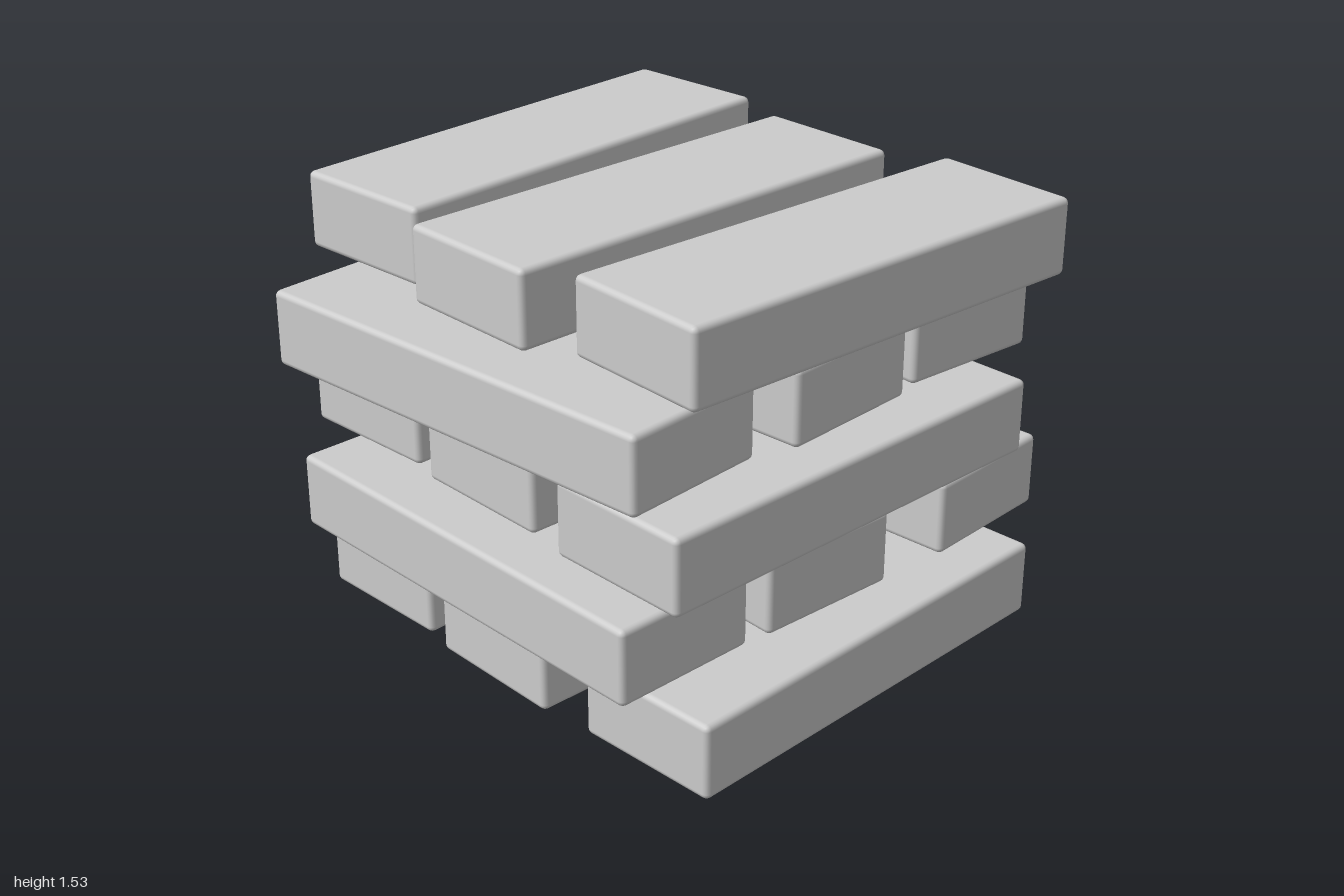
import * as THREE from 'three';
import { RoundedBoxGeometry } from 'three/addons/geometries/RoundedBoxGeometry.js';

const LENGTH = 1.58, WIDTH = 0.525, HEIGHT = 0.262, STEP = 0.317;

// Each layer from the ground up: three blocks as [x, z, turn].
// Even layers run front to back, odd layers run side to side.
const LAYERS = [
  [[-0.643, -0.04, 0.02], [0.01, -0.015, -0.016], [0.675, -0.04, 0.0285]],
  [[-0.015, 0.648, 0], [0.01, 0.008, -0.045], [0.02, -0.692, 0.057]],
  [[-0.678, -0.03, 0.045], [-0.018, -0.01, -0.0125], [0.64, 0.022, -0.003]],
  [[0, 0.682, 0.07], [0.015, 0.015, 0.054], [-0.01, -0.682, -0.07]],
  [[-0.663, -0.042, 0.056], [0.005, 0.03, -0.0095], [0.678, -0.05, -0.046]],
];

export function createModel() {
  const model = new THREE.Group();
  model.name = 'blockStack';
  const material = new THREE.MeshStandardMaterial({ color: 0xcccccc });

  // One softly bevelled block, lying along z
  const block = new RoundedBoxGeometry(WIDTH, HEIGHT, LENGTH, 2, 0.02);

  LAYERS.forEach((blocks, level) => {
    const layer = new THREE.Group();
    layer.name = `layer${level + 1}`;
    layer.position.y = HEIGHT / 2 + level * STEP;
    const crosswise = level % 2 === 1;
    blocks.forEach(([x, z, turn], i) => {
      const mesh = new THREE.Mesh(block, material);
      mesh.name = `block${i + 1}`;
      mesh.position.set(x, 0, z);
      mesh.rotation.y = turn + (crosswise ? Math.PI / 2 : 0);
      layer.add(mesh);
    });
    model.add(layer);
  });
  return model;
}
